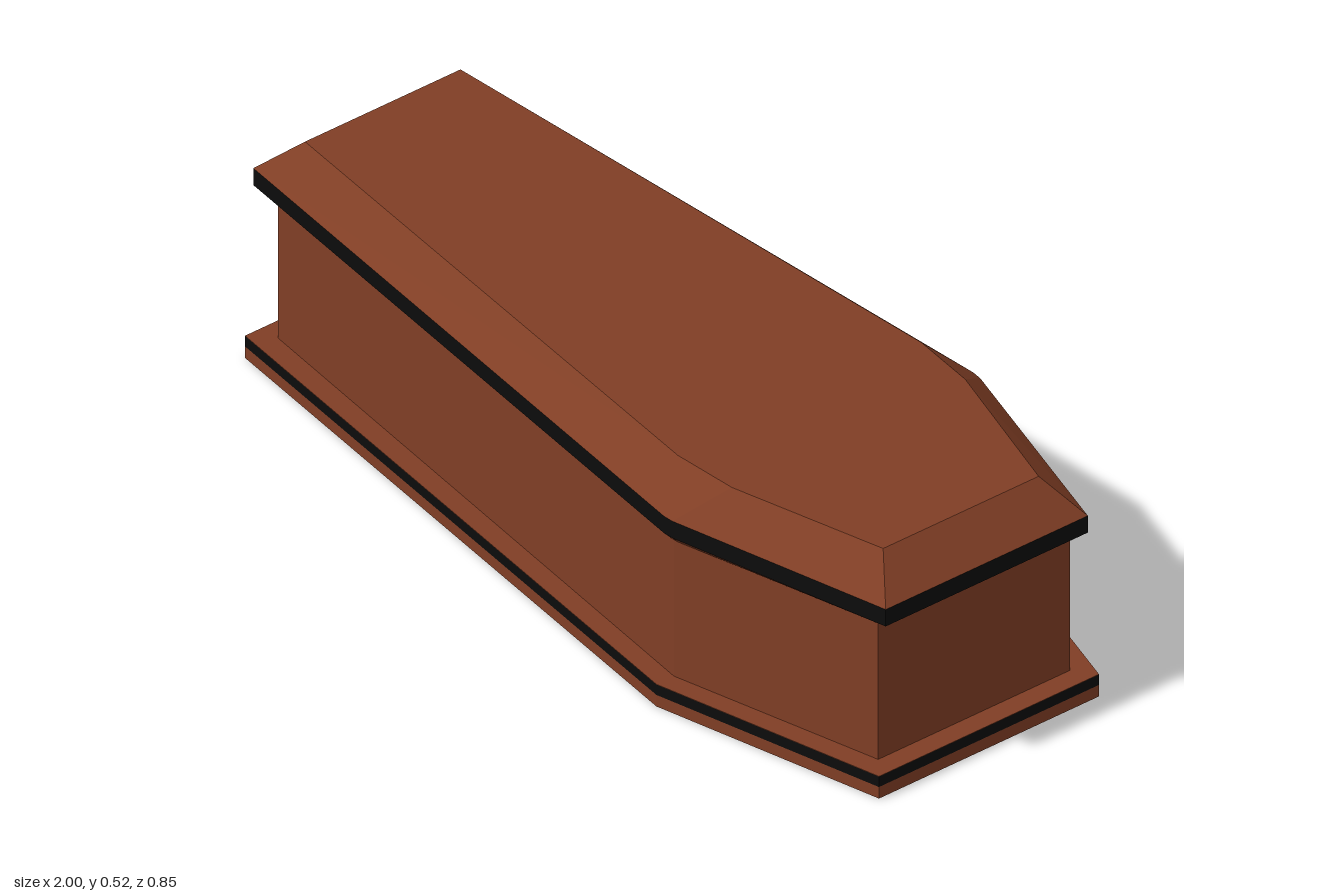
import * as THREE from 'three';

// Half outline (foot end, shoulder, head end), mirrored in z, counter-clockwise from above
const ring = (y, half) => [
  ...half.map(([x, z]) => new THREE.Vector3(x, y, z)),
  ...half.map(([x, z]) => new THREE.Vector3(x, y, -z)).reverse(),
];

// Flat-sided loft between two rings, with optional end caps
function loft(low, high, capLow = false, capHigh = false) {
  const pos = [];
  const tri = (...pts) => pts.forEach((p) => pos.push(p.x, p.y, p.z));
  const n = low.length;
  for (let i = 0; i < n; i++) {
    const j = (i + 1) % n;
    tri(low[i], low[j], high[j]);
    tri(low[i], high[j], high[i]);
  }
  for (let i = 1; i < n - 1; i++) {
    if (capLow) tri(low[0], low[i + 1], low[i]);
    if (capHigh) tri(high[0], high[i], high[i + 1]);
  }
  const geo = new THREE.BufferGeometry();
  geo.setAttribute('position', new THREE.Float32BufferAttribute(pos, 3));
  geo.computeVertexNormals();
  return geo;
}

export function createModel() {
  const wood = new THREE.MeshStandardMaterial({ color: 0x803e25 });
  wood.name = 'reddish brown wood';
  const black = new THREE.MeshStandardMaterial({ color: 0x0c0c0c });
  black.name = 'black trim';

  const group = new THREE.Group();
  group.name = 'coffin';
  const add = (name, material, geometry) => {
    const mesh = new THREE.Mesh(geometry, material);
    mesh.name = name;
    group.add(mesh);
  };

  // Plan outlines; the lid's shoulder is chamfered so it widens toward the top panel
  const base = [[-0.993, 0.295], [0.47, 0.425], [1, 0.283]];
  const body = [[-0.945, 0.249], [0.47, 0.38], [0.953, 0.247]];
  const neck = [[-0.945, 0.249], [0.46, 0.38], [0.48, 0.378], [0.953, 0.247]];
  const rim = [[-1, 0.268], [0.46, 0.398], [0.485, 0.396], [0.993, 0.26]];
  const panel = [[-0.92, 0.2], [0.4, 0.313], [0.555, 0.3], [0.911, 0.2]];

  // Base plinth with trim band and wooden ledge
  add('basePlinth', wood, loft(ring(0, base), ring(0.028, base), true));
  add('baseTrim', black, loft(ring(0.028, base), ring(0.053, base)));
  add('baseLedge', wood, loft(ring(0.053, base), ring(0.054, base), false, true));

  // Box
  add('body', wood, loft(ring(0.054, body), ring(0.386, body)));

  // Lid: flared underside, trim band, bevelled top
  add('lidUnderside', wood, loft(ring(0.385, neck), ring(0.405, rim), true));
  add('lidTrim', black, loft(ring(0.405, rim), ring(0.446, rim)));
  add('lidTop', wood, loft(ring(0.446, rim), ring(0.524, panel), false, true));

  return group;
}
